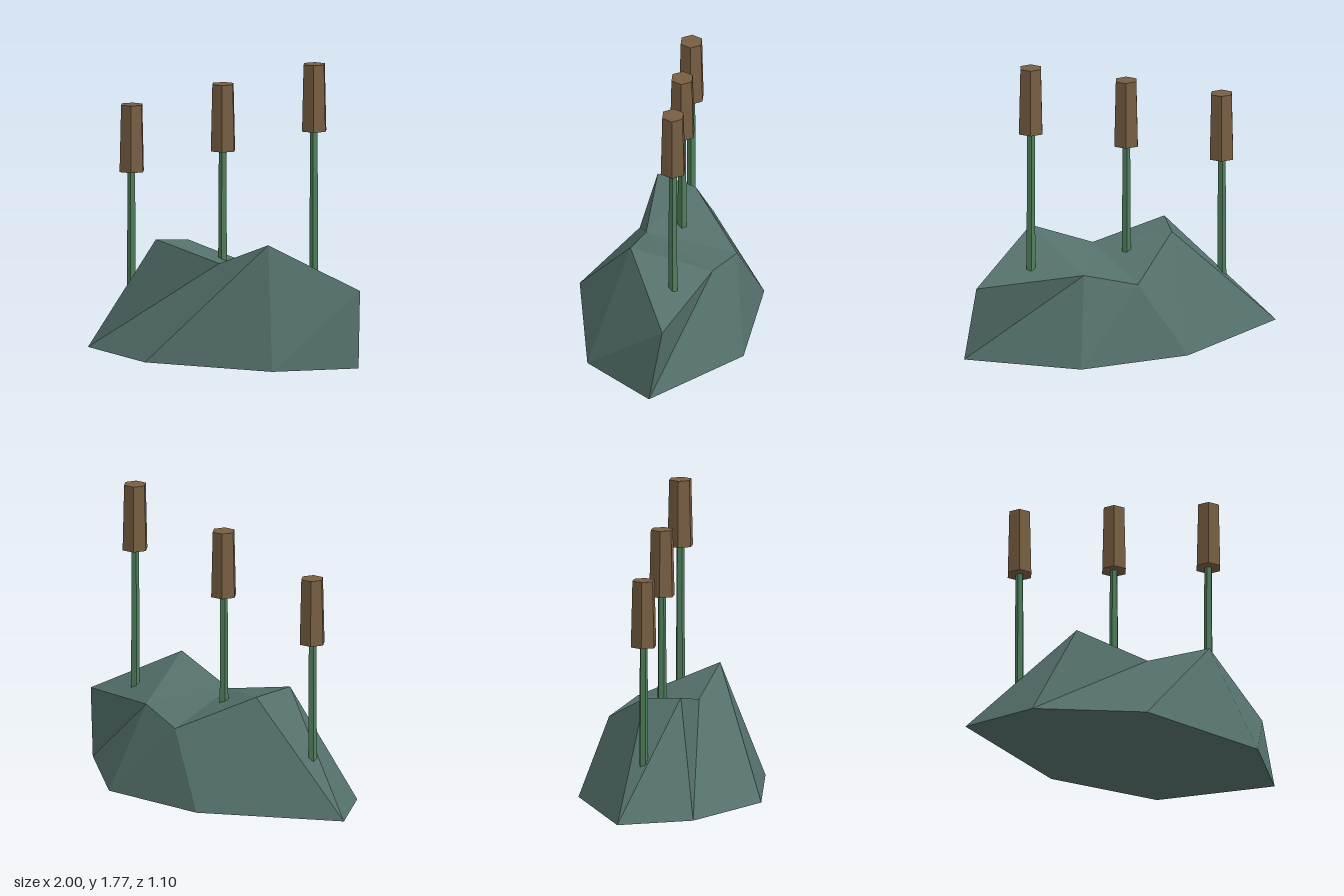
import * as THREE from 'three';

const rockMat = new THREE.MeshStandardMaterial({ color: 0x54706b, flatShading: true });
rockMat.name = 'slateRock';
const stemMat = new THREE.MeshStandardMaterial({ color: 0x4f7f5c, flatShading: true });
stemMat.name = 'stemGreen';
const headMat = new THREE.MeshStandardMaterial({ color: 0x775e42, flatShading: true });
headMat.name = 'headBrown';

// Faceted boulder: a seven-sided foot joined to an uneven seven-sided crown
function makeRock() {
  const foot = [
    [-1, 0, -0.18], [-0.79, 0, 0.24], [-0.18, 0, 0.545], [0.65, 0, 0.43],
    [1, 0, 0.035], [0.5, 0, -0.485], [-0.19, 0, -0.55],
  ];
  const crown = [
    [-0.32, 0.635, -0.13], [-0.4, 0.66, 0.1], [0.07, 0.56, 0.13], [0.46, 0.71, 0.19],
    [0.96, 0.45, -0.04], [0.37, 0.51, -0.29], [0.07, 0.44, -0.41],
  ];
  const n = foot.length;
  const index = [];
  for (let i = 0; i < n; i++) {
    const j = (i + 1) % n;
    index.push(i, j, n + j, i, n + j, n + i);
  }
  // Underside fan
  for (let i = 1; i < n - 1; i++) index.push(0, i + 1, i);
  // Crown, with a ridge on the high side and a dip in the middle
  for (const tri of [[0, 1, 2], [0, 2, 6], [2, 5, 6], [2, 3, 5], [3, 4, 5]]) {
    index.push(...tri.map((k) => n + k));
  }
  const geo = new THREE.BufferGeometry();
  geo.setAttribute('position', new THREE.Float32BufferAttribute([...foot, ...crown].flat(), 3));
  geo.setIndex(index);
  const flat = geo.toNonIndexed();
  flat.computeVertexNormals();
  const mesh = new THREE.Mesh(flat, rockMat);
  mesh.name = 'rock';
  return mesh;
}

// One reed: five-sided stem with a tapered six-sided head
function makeReed(x, headBase, stemBase) {
  const reed = new THREE.Group();
  reed.name = 'reed';
  const length = headBase + 0.05 - stemBase;
  const stem = new THREE.Mesh(new THREE.CylinderGeometry(0.024, 0.029, length, 5), stemMat);
  stem.name = 'stem';
  stem.position.y = stemBase + length / 2;
  stem.rotation.y = Math.PI / 2;
  const head = new THREE.Mesh(new THREE.CylinderGeometry(0.07, 0.08, 0.4, 6), headMat);
  head.name = 'reedHead';
  head.position.y = headBase + 0.2;
  head.rotation.y = Math.PI / 2;
  reed.add(stem, head);
  reed.position.set(x, 0, -0.075);
  return reed;
}

export function createModel() {
  const model = new THREE.Group();
  model.name = 'reedsOnRock';
  model.add(makeRock());
  const reeds = [[-0.69, 1.02, 0.2], [-0.04, 1.2, 0.4], [0.61, 1.375, 0.4]];
  for (const [x, headBase, stemBase] of reeds) model.add(makeReed(x, headBase, stemBase));
  return model;
}
